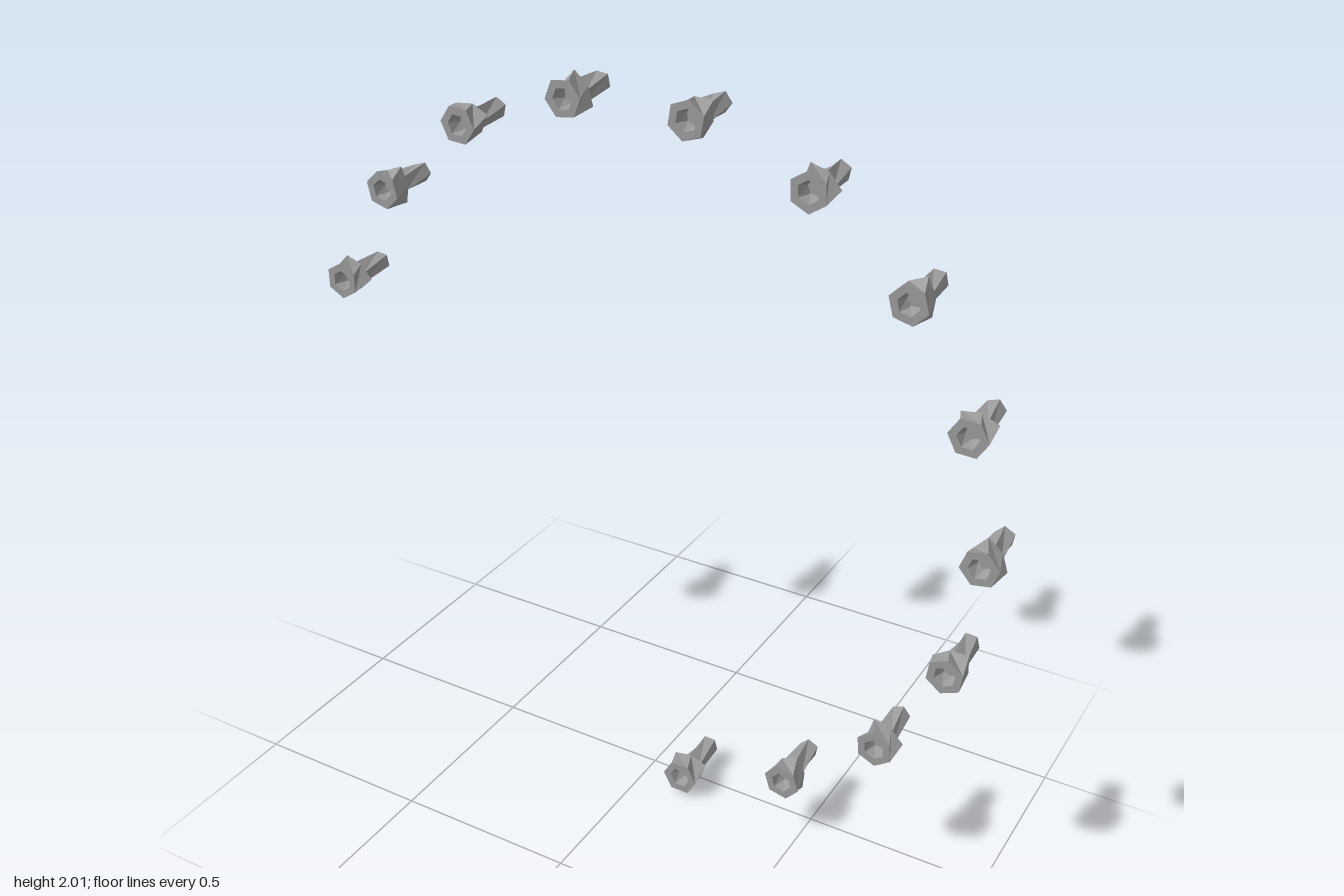
import * as THREE from 'three';

const steel = new THREE.MeshStandardMaterial({ color: 0x9c9c9c });
steel.name = 'steel grey';

// Faceted solid along z from rings { z, r, turn, uneven }, listed from the back round to the front
function facetedLoft(rings, sides, phase) {
  const corner = (ring, i) => {
    const k = i % sides;
    const a = phase + ((k + (ring.turn || 0)) / sides) * Math.PI * 2;
    const r = ring.r + (ring.uneven || 0) * (k % 2 ? -1 : 1);
    return [r * Math.cos(a), r * Math.sin(a), ring.z];
  };
  const pos = [];
  for (let j = 0; j < rings.length - 1; j++) {
    const a = rings[j], b = rings[j + 1];
    for (let i = 0; i < sides; i++) {
      if (a.r > 0) pos.push(...corner(a, i), ...corner(a, i + 1), ...corner(b, i));
      if (b.r > 0) pos.push(...corner(a, i + 1), ...corner(b, i + 1), ...corner(b, i));
    }
  }
  const geo = new THREE.BufferGeometry();
  geo.setAttribute('position', new THREE.Float32BufferAttribute(pos, 3));
  geo.computeVertexNormals();
  return geo;
}

function createBolt(index) {
  const bolt = new THREE.Group();
  const phase = index * 0.83;

  // Head with a hexagonal socket sunk into the front
  const head = new THREE.Mesh(facetedLoft([
    { z: 0.032, r: 0 },
    { z: 0.032, r: 0.049, uneven: 0.007, turn: 0.4 },
    { z: 0.09, r: 0.051 },
    { z: 0.09, r: 0.029 },
    { z: 0.05, r: 0.021, turn: 0.3 },
    { z: 0.05, r: 0 },
  ], 6, phase), steel);
  head.name = 'boltHead';

  // Slightly tapered, twisted shank
  const shank = new THREE.Mesh(facetedLoft([
    { z: -0.085, r: 0 },
    { z: -0.085, r: 0.027, turn: 0.4 },
    { z: 0.034, r: 0.034 },
    { z: 0.034, r: 0 },
  ], 5, phase + 0.4), steel);
  shank.name = 'boltShank';

  bolt.add(head, shank);
  return bolt;
}

export function createModel() {
  const model = new THREE.Group();
  model.name = 'boltCircle';

  // Thirteen bolts every 20 degrees around an open circle
  for (let i = 0; i < 13; i++) {
    const a = THREE.MathUtils.degToRad(-80 + i * 20);
    const bolt = createBolt(i);
    bolt.name = `bolt${i + 1}`;
    bolt.position.set(-0.035 + 0.963 * Math.cos(a), 1.002 + 0.963 * Math.sin(a), 0);
    model.add(bolt);
  }
  return model;
}
